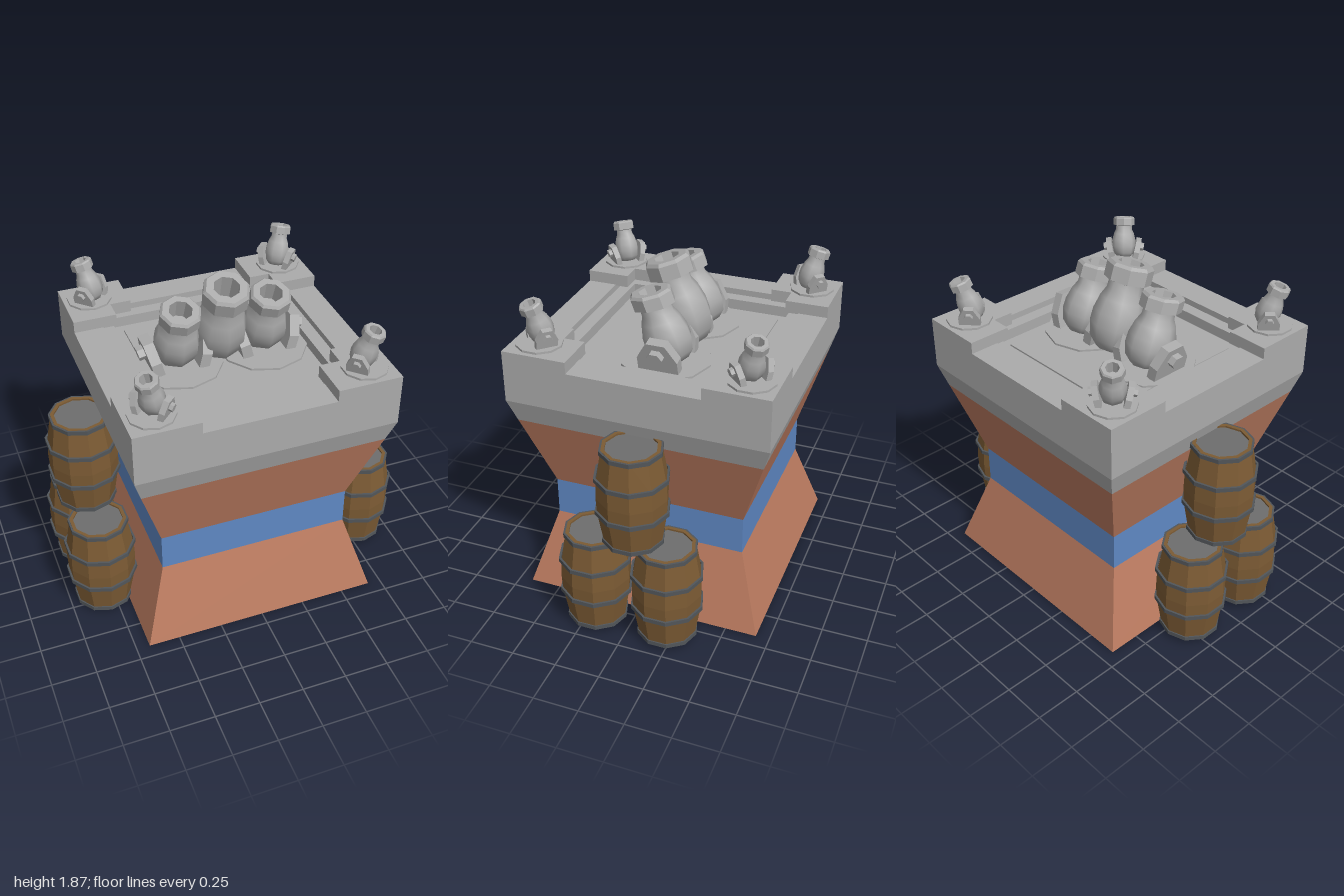
import * as THREE from 'three';
import { toCreasedNormals } from 'three/addons/utils/BufferGeometryUtils.js';

const mat = (name, color) => {
  const m = new THREE.MeshStandardMaterial({ color, side: THREE.DoubleSide });
  m.name = name;
  return m;
};

export function createModel() {
  const stone = mat('grey stone', 0xababab);
  const clay = mat('terracotta', 0xbb7b60);
  const blue = mat('blue band', 0x5f88c4);
  const wood = mat('barrel wood', 0x7c5b34);
  const iron = mat('dark iron', 0x52565a);
  const lidGrey = mat('barrel lid', 0x6e6e6e);

  const flat = (g) => {
    const n = g.index ? g.toNonIndexed() : g;
    n.computeVertexNormals();
    return n;
  };
  const add = (parent, name, geo, material, x = 0, y = 0, z = 0) => {
    const m = new THREE.Mesh(geo, material);
    m.name = name;
    m.position.set(x, y, z);
    parent.add(m);
    return m;
  };
  const group = (parent, name, x = 0, y = 0, z = 0) => {
    const g = new THREE.Group();
    g.name = name;
    g.position.set(x, y, z);
    parent.add(g);
    return g;
  };
  const vecs = (pts) => pts.map(([x, y]) => new THREE.Vector2(x, y));
  const lathe = (pts, sides) => new THREE.LatheGeometry(vecs(pts), sides);

  // Four sloping walls between two square outlines (half widths a and b)
  const walls = (a, y0, b, y1) => {
    const g = new THREE.CylinderGeometry(b * Math.SQRT2, a * Math.SQRT2, y1 - y0, 4, 1, true);
    g.rotateY(Math.PI / 4).translate(0, (y0 + y1) / 2, 0);
    return flat(g);
  };
  // Horizontal outline raised from y0 to y1
  const slab = (shape, y0, y1) => {
    const g = new THREE.ExtrudeGeometry(shape, { depth: y1 - y0, bevelEnabled: false });
    return g.rotateX(-Math.PI / 2).translate(0, y0, 0);
  };
  const square = (h) => vecs([[-h, -h], [h, -h], [h, h], [-h, h]]);
  const frame = (outer, inner, y0, y1) => {
    const s = new THREE.Shape(square(outer));
    s.holes.push(new THREE.Path(square(inner)));
    return slab(s, y0, y1);
  };

  const model = new THREE.Group();
  model.name = 'cannonTower';

  // Hollow tower body, open underneath
  add(model, 'lowerWalls', walls(0.675, 0, 0.54, 0.437), clay);
  add(model, 'waistBand', walls(0.54, 0.437, 0.54, 0.653), blue);
  add(model, 'upperWalls', walls(0.54, 0.653, 0.675, 1.09), clay);
  add(model, 'corbel', walls(0.675, 1.09, 0.715, 1.22), stone);

  // Parapet, steps and gun deck
  add(model, 'parapet', frame(0.715, 0.55, 1.22, 1.445), stone);
  add(model, 'parapetStep', frame(0.55, 0.48, 1.3, 1.41), stone);
  add(model, 'deck', slab(new THREE.Shape(square(0.48)), 1.3, 1.35), stone);
  add(model, 'deckPanel', slab(new THREE.Shape(square(0.42)), 1.35, 1.36), stone);
  const cornerShape = new THREE.Shape(vecs([
    [0.715, 0.715], [0.36, 0.715], [0.36, 0.475], [0.475, 0.475], [0.475, 0.36], [0.715, 0.36],
  ]));
  const cornerGeo = slab(cornerShape, 1.44, 1.51);
  for (let i = 0; i < 4; i++) add(model, 'cornerBlock', cornerGeo, stone).rotation.y = i * Math.PI / 2;

  // Shared cannon shapes, with the pivot at the origin
  const bodyGeo = toCreasedNormals(lathe([
    [0, -0.14], [0.085, -0.13], [0.128, -0.08], [0.146, 0], [0.143, 0.07], [0.122, 0.15], [0.098, 0.2], [0.095, 0.255],
  ], 8), 1.0);
  const muzzleGeo = flat(lathe([
    [0.09, 0.245], [0.128, 0.255], [0.128, 0.335], [0.114, 0.352], [0.072, 0.352], [0.062, 0.22], [0, 0.22],
  ], 8));
  const bracketShape = new THREE.Shape(vecs([
    [-0.12, -0.14], [0.12, -0.14], [0.12, -0.04], [0.055, 0.085], [-0.055, 0.085], [-0.12, -0.04],
  ]));
  const bracketGeo = new THREE.ExtrudeGeometry(bracketShape, { depth: 0.065, bevelEnabled: false });
  bracketGeo.translate(0, 0, -0.0325).rotateY(Math.PI / 2);
  const boltGeo = flat(new THREE.CylinderGeometry(0.048, 0.048, 0.06, 6).rotateZ(Math.PI / 2));

  const cannon = (name, x, y, z, scale, yaw, mounted) => {
    const g = group(model, name, x, y, z);
    g.scale.set(...scale);
    g.rotation.y = yaw;
    const barrel = group(g, 'cannonBarrel');
    barrel.rotation.x = 0.32;
    add(barrel, 'cannonBody', bodyGeo, stone);
    add(barrel, 'muzzle', muzzleGeo, stone);
    if (!mounted) return;
    for (const s of [-1, 1]) {
      const mount = group(g, 'mount', s * 0.17, 0, 0);
      mount.rotation.z = -s * 0.22;
      add(mount, 'bracket', bracketGeo, stone);
      add(mount, 'pivotBolt', boltGeo, stone, s * 0.045, 0, 0);
    }
  };

  // Three main cannons on round bases
  cannon('middleCannon', 0, 1.5, -0.02, [1, 1, 1], 0, false);
  const baseGeo = flat(new THREE.CylinderGeometry(0.245, 0.245, 0.015, 10));
  for (const s of [-1, 1]) {
    add(model, 'cannonBase', baseGeo, stone, s * 0.245, 1.364, 0);
    cannon('sideCannon', s * 0.25, 1.48, -0.015, [0.88, 0.8, 0.92], 0, true);
  }

  // Small corner cannons facing outward on the diagonals
  const plateGeo = flat(new THREE.CylinderGeometry(0.125, 0.125, 0.012, 10));
  for (const sx of [-1, 1]) {
    for (const sz of [-1, 1]) {
      add(model, 'cornerPlate', plateGeo, stone, sx * 0.57, 1.516, sz * 0.57);
      cannon('cornerCannon', sx * 0.56, 1.585, sz * 0.56, [0.48, 0.48, 0.48], Math.atan2(sx, sz), true);
    }
  }

  // Barrels: staves, hoops and lids
  const staveGeo = flat(lathe([
    [0.138, 0.01], [0.138, 0], [0.157, 0], [0.188, 0.19], [0.192, 0.28], [0.188, 0.38],
    [0.157, 0.565], [0.138, 0.565], [0.138, 0.55],
  ], 10));
  const lidGeo = flat(new THREE.CylinderGeometry(0.14, 0.14, 0.01, 10));
  const hoop = (r) => flat(lathe([
    [r - 0.012, -0.012], [r, -0.012], [r, 0.012], [r - 0.012, 0.012], [r - 0.012, -0.012],
  ], 10));
  const endHoop = hoop(0.168), bellyHoop = hoop(0.2);
  const barrel = (x, y, z) => {
    const g = group(model, 'barrel', x, y, z);
    add(g, 'staves', staveGeo, wood);
    for (const h of [0.013, 0.552]) add(g, 'endHoop', endHoop, iron, 0, h, 0);
    for (const h of [0.195, 0.395]) add(g, 'bellyHoop', bellyHoop, iron, 0, h, 0);
    for (const h of [0.008, 0.55]) add(g, 'lid', lidGeo, lidGrey, 0, h, 0);
  };
  for (const s of [-1, 1]) {
    barrel(s * 0.8, 0.025, 0.2);
    barrel(s * 0.8, 0.025, -0.21);
    barrel(s * 0.8, 0.592, -0.025);
  }

  return model;
}
